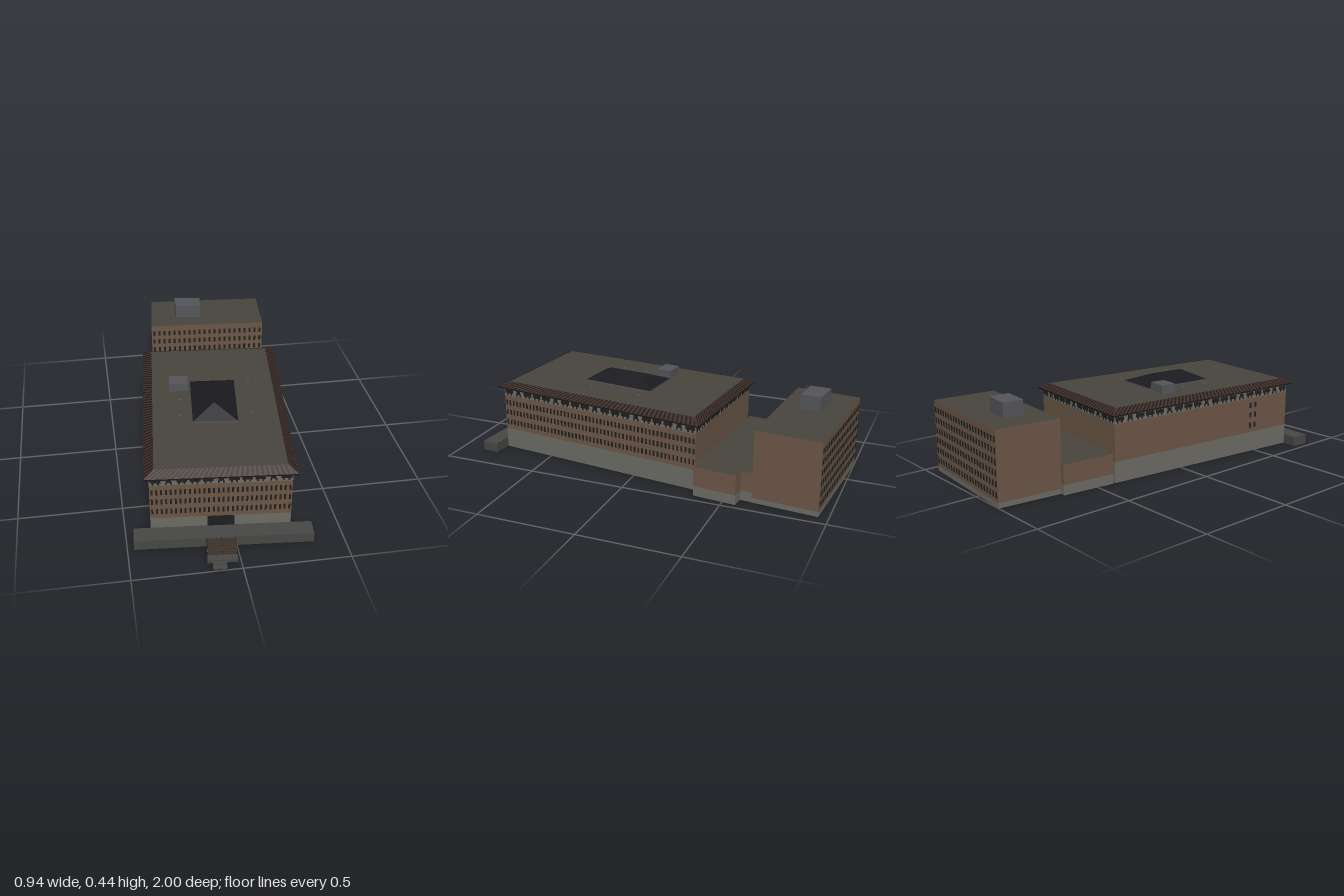
import * as THREE from 'three';
import { mergeGeometries } from 'three/addons/utils/BufferGeometryUtils.js';

const mat = (color) => new THREE.MeshStandardMaterial({ color, side: THREE.DoubleSide, flatShading: true });
const M = {
  brick: mat(0x6b5646), base: mat(0x6c6b65), band: mat(0x6e6e66), roof: mat(0x47453e), terrace: mat(0x474746),
  tile: mat(0x40302b), tileDark: mat(0x221817), glass: mat(0x1f1f20), skylight: mat(0x1b1b1f), plant: mat(0x55565a),
  step: mat(0x40332c),
};

const lerp = (a, b, t) => [a[0] + (b[0] - a[0]) * t, a[1] + (b[1] - a[1]) * t];
const dist = (a, b) => Math.hypot(b[0] - a[0], b[1] - a[1]);

// Plan outlines are [frontLeft, frontRight, backRight, backLeft] as [x, z], seen from the front
function inset(q, dx, dz = dx) {
  const u = dx / dist(q[0], q[1]), v = dz / dist(q[0], q[3]);
  const at = (s, t) => lerp(lerp(q[0], q[1], s), lerp(q[3], q[2], s), t);
  return [at(u, v), at(1 - u, v), at(1 - u, 1 - v), at(u, 1 - v)];
}

function facesGeometry(quads) {
  const pos = [];
  for (const [a, b, c, d] of quads) pos.push(...a, ...b, ...c, ...a, ...c, ...d);
  const g = new THREE.BufferGeometry();
  g.setAttribute('position', new THREE.Float32BufferAttribute(pos, 3));
  g.computeVertexNormals();
  return g;
}

export function createModel() {
  const model = new THREE.Group();
  const add = (name, geometry, material, parent = model) => {
    const mesh = new THREE.Mesh(geometry, material);
    mesh.name = name;
    parent.add(mesh);
    return mesh;
  };

  // Walls between two outlines, with an optional flat top
  function walls(name, q0, y0, q1, y1, material, cap = false) {
    const p = (c, y) => [c[0], y, c[1]];
    const quads = q0.map((a, i) => {
      const j = (i + 1) % 4;
      return [p(a, y0), p(q0[j], y0), p(q1[j], y1), p(q1[i], y1)];
    });
    if (cap) quads.push(q1.map((c) => p(c, y1)));
    return add(name, facesGeometry(quads), material);
  }
  const top = (name, q, y, material) => add(name, facesGeometry([q.map((c) => [c[0], y, c[1]])]), material);

  // Thin panes along the wall a-b, each given as [t, y0, y1, width]
  function panes(name, a, b, list, material = M.glass) {
    const angle = -Math.atan2(b[1] - a[1], b[0] - a[0]);
    const parts = list.map(([t, y0, y1, w]) => {
      const [x, z] = lerp(a, b, t);
      return new THREE.BoxGeometry(w, y1 - y0, 0.004).rotateY(angle).translate(x, (y0 + y1) / 2, z);
    });
    add(name, mergeGeometries(parts), material);
  }
  function rows(n, ys, h, w) {
    const list = [];
    for (const y of ys) for (let i = 0; i < n; i++) list.push([(i + 0.5) / n, y, y + h, w]);
    return list;
  }

  // Main building: stone base, brick floors and a pale top storey
  const main = [[-0.384, 0.722], [0.265, 0.78], [0.394, -0.34], [-0.28, -0.40]];
  walls('mainBase', main, 0, main, 0.106, M.base);
  walls('mainBrickWalls', main, 0.106, main, 0.293, M.brick);
  walls('topStorey', main, 0.293, main, 0.345, M.band);
  const floors = [0.131, 0.187, 0.24];
  panes('frontWindows', main[0], main[1], rows(30, floors, 0.028, 0.009));
  panes('longSideWindows', main[1], main[2], rows(52, floors, 0.028, 0.009));
  const few = [];
  for (const y of floors) for (const t of [0.77, 0.8]) few.push([t, y, y + 0.028, 0.012]);
  panes('plainSideWindows', main[3], main[0], few);
  panes('entrance', main[0], main[1], [[0.5, 0, 0.106, 0.125]]);

  // Top storey windows: wide panes with a narrow one in every fourth place
  main.forEach((a, i) => {
    const b = main[(i + 1) % 4];
    const n = Math.round(dist(a, b) / 0.0585), list = [];
    for (let k = 0; k < n; k++) {
      const narrow = k % 4 === 1, t = (k + 0.5) / n;
      list.push([t, 0.308, 0.327, narrow ? 0.024 : 0.048]);
      for (const s of [-0.2, 0.2]) list.push([t + s / n, 0.297, 0.308, 0.008]);
    }
    panes('topStoreyWindows', a, b, list);
  });

  // Overhanging eaves with a sloped tile border around the flat roof
  const eave = inset(main, -0.022), deck = inset(eave, 0.045);
  add('soffit', facesGeometry(main.map((a, i) => {
    const j = (i + 1) % 4;
    return [[a, 0], [eave[i], 0], [eave[j], 0], [main[j], 0]].map(([c]) => [c[0], 0.336, c[1]]);
  })), M.tileDark);
  walls('fascia', eave, 0.336, eave, 0.344, M.tileDark);
  walls('tileBorder', eave, 0.344, deck, 0.366, M.tile);
  top('flatRoof', deck, 0.366, M.roof);
  const stripes = [];
  eave.forEach((a, i) => {
    const j = (i + 1) % 4, n = Math.round(dist(a, eave[j]) / 0.024);
    const low = (t) => { const c = lerp(a, eave[j], Math.min(t, 1)); return [c[0], 0.3448, c[1]]; };
    const high = (t) => { const c = lerp(deck[i], deck[j], Math.min(t, 1)); return [c[0], 0.3668, c[1]]; };
    for (let k = 0; k < n; k++) stripes.push([low(k / n), low((k + 0.5) / n), high((k + 1.5) / n), high((k + 1) / n)]);
  });
  add('tileStripes', facesGeometry(stripes), M.tileDark);

  // Hipped skylight on a low curb
  const sky = [[-0.132, 0.36], [0.085, 0.386], [0.132, 0.005], [-0.095, -0.016]];
  walls('skylightCurb', sky, 0.366, sky, 0.374, M.plant);
  const r0 = [-0.015, 0.275], r1 = [0.005, 0.09];
  walls('skylight', sky, 0.374, [r0, r0, r1, r1], 0.421, M.skylight);

  // Rooftop plant boxes and vents
  walls('plantBox', [[-0.212, 0.053], [-0.116, 0.063], [-0.106, -0.016], [-0.2, -0.026]], 0.36,
    [[-0.212, 0.053], [-0.116, 0.063], [-0.106, -0.016], [-0.2, -0.026]], 0.41, M.plant, true);
  const rear = [[-0.074, -0.772], [0.069, -0.757], [0.079, -0.857], [-0.069, -0.878]];
  walls('rearPlantBox', rear, 0.36, rear, 0.44, M.plant, true);
  for (const [x, z] of [[-0.17, 0.15], [-0.185, 0.29], [0.2, 0.037], [0.164, 0.32]]) {
    add('roofVent', new THREE.CylinderGeometry(0.008, 0.008, 0.01, 8), M.plant).position.set(x, 0.369, z);
  }

  // Low connecting wing and its side annex
  const wing = [[-0.28, -0.41], [0.392, -0.345], [0.417, -0.63], [-0.254, -0.683]];
  const annex = [[0.39, -0.355], [0.452, -0.35], [0.472, -0.566], [0.41, -0.573]];
  for (const [name, q] of [['wing', wing], ['annex', annex]]) {
    walls(name + 'Base', q, 0, q, 0.05, M.base);
    walls(name + 'Walls', q, 0.05, q, 0.15, M.brick);
    top(name + 'Roof', q, name === 'wing' ? 0.15 : 0.1505, M.roof);
  }

  // Tall rear block with windows on its two broad faces
  const block = [[-0.228, -0.677], [0.418, -0.63], [0.444, -0.952], [-0.196, -1.0]];
  walls('rearBlockBase', block, 0, block, 0.025, M.base);
  walls('rearBlockWalls', block, 0.025, block, 0.366, M.brick);
  top('rearBlockRoof', block, 0.366, M.roof);
  const levels = [0.045, 0.097, 0.149, 0.201, 0.253, 0.305];
  panes('rearBlockBackWindows', block[2], block[3], rows(22, levels, 0.028, 0.012));
  panes('rearBlockFrontWindows', block[0], block[1], rows(22, levels.slice(2), 0.028, 0.012));

  // Front terrace
  const terrace = [[-0.47, 0.805], [0.355, 0.875], [0.362, 0.79], [-0.462, 0.715]];
  walls('terrace', terrace, 0, terrace, 0.05, M.terrace, true);

  // Entrance stairs with landing, lower steps and handrails
  const stairs = new THREE.Group();
  stairs.name = 'entranceStairs';
  stairs.position.set(-0.073, 0, 0.836);
  stairs.rotation.y = -0.088;
  model.add(stairs);
  const slab = (name, x, w, h, z0, z1, m) =>
    add(name, new THREE.BoxGeometry(w, h, z1 - z0), m, stairs).position.set(x, h / 2, (z0 + z1) / 2);
  for (let i = 0; i < 6; i++) slab('step', 0, 0.138, 0.045 - i * 0.005, i * 0.0133, (i + 1) * 0.0133, M.step);
  slab('landing', 0, 0.138, 0.016, 0.08, 0.115, M.terrace);
  slab('lowerStep', -0.015, 0.064, 0.011, 0.115, 0.137, M.terrace);
  slab('lowerStep', -0.015, 0.064, 0.006, 0.137, 0.159, M.terrace);
  for (const x of [-0.066, 0, 0.066]) {
    const path = new THREE.CatmullRomCurve3([[0.045, 0], [0.066, 0], [0.038, 0.08], [0.016, 0.08]]
      .map(([y, z]) => new THREE.Vector3(x, y, z)), false, 'catmullrom', 0);
    add('handrail', new THREE.TubeGeometry(path, 18, 0.0012, 5), M.tileDark, stairs);
  }
  return model;
}
